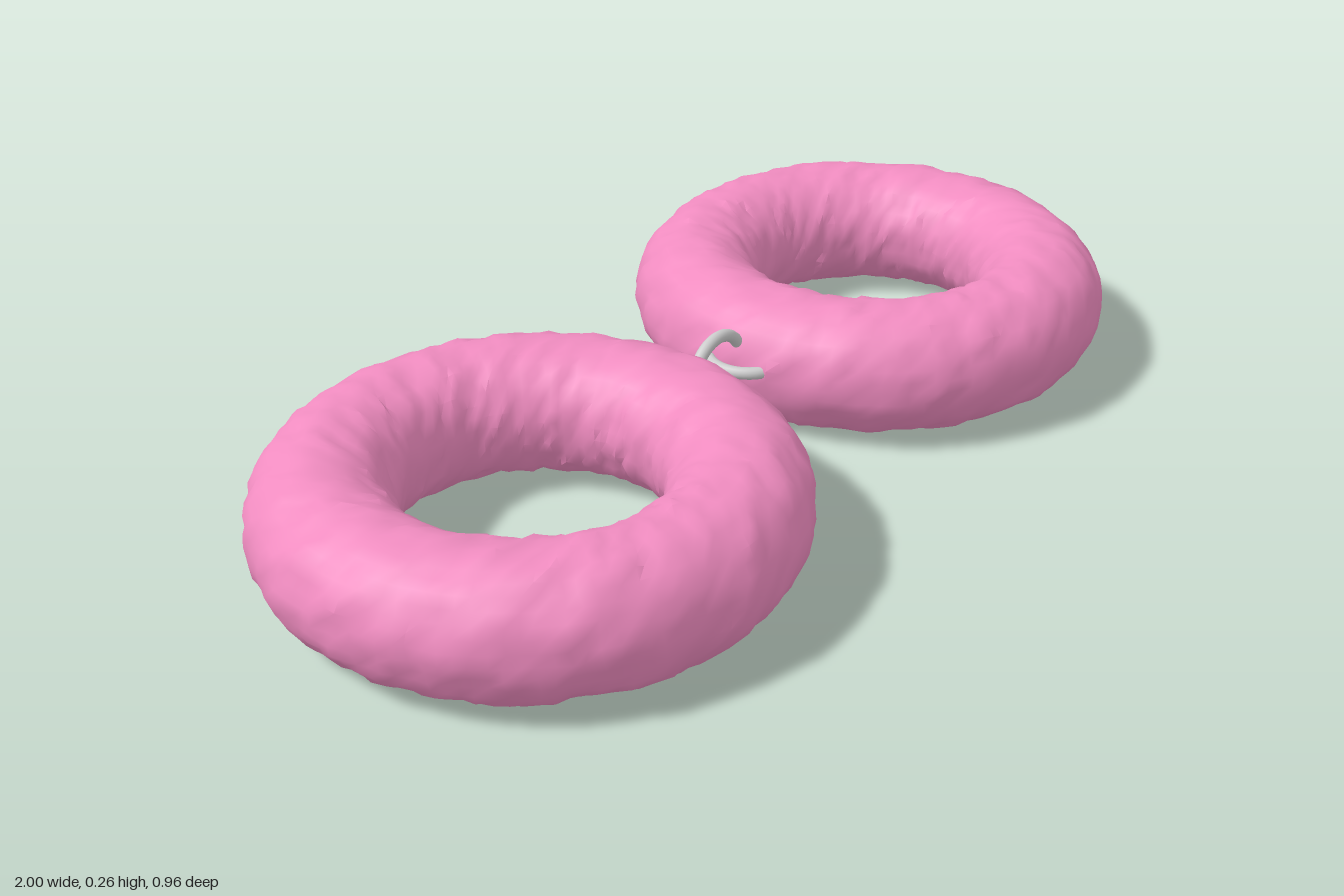
import * as THREE from 'three';
import { mergeVertices, toCreasedNormals } from 'three/addons/utils/BufferGeometryUtils.js';

const PINK = new THREE.MeshStandardMaterial({ color: 0xf08cc0 });
const METAL = new THREE.MeshStandardMaterial({ color: 0xcccccc });

// repeatable pseudo-random value in 0..1 for a grid cell
function hash(i, j, seed) {
  const s = Math.sin(i * 127.1 + j * 311.7 + seed * 74.7) * 43758.5453;
  return s - Math.floor(s);
}

// ring of fluffy plush: a torus whose skin is roughened by soft lumps and small tufts
function fluffyRing(seed) {
  const R = 0.35, r = 0.126, around = 120, section = 36;
  let geo = new THREE.TorusGeometry(R, r, section, around);
  geo.deleteAttribute('uv');
  geo.deleteAttribute('normal');
  geo = mergeVertices(geo, 1e-4);
  const pos = geo.attributes.position;
  for (let k = 0; k < pos.count; k++) {
    const x = pos.getX(k), y = pos.getY(k), z = pos.getZ(k);
    const u = Math.atan2(y, x);
    const v = Math.atan2(z, Math.hypot(x, y) - R);
    const i = (Math.round(u / (2 * Math.PI) * around) + around) % around;
    const j = (Math.round(v / (2 * Math.PI) * section) + section) % section;
    const lumps = Math.sin(13 * u + 3 * v + seed) * Math.sin(5 * v - 4 * u) * 0.0015;
    const tuft = (hash(i >> 1, j >> 1, seed) - 0.5) * 0.006;
    const rr = r + lumps + tuft + (hash(i, j, seed + 5) - 0.5) * 0.005;
    const twist = u + (hash(i, j, seed + 9) - 0.5) * 0.02;
    const d = R + rr * Math.cos(v);
    pos.setXYZ(k, d * Math.cos(twist), d * Math.sin(twist), rr * Math.sin(v));
  }
  geo.rotateX(-Math.PI / 2);
  return toCreasedNormals(geo, 0.7);
}

function add(group, name, geo, mat, x, y) {
  const mesh = new THREE.Mesh(geo, mat);
  mesh.name = name;
  mesh.position.set(x, y, 0);
  group.add(mesh);
}

export function createModel() {
  const model = new THREE.Group();
  model.name = 'fluffyCuffs';

  // upright middle link of the chain
  const chain = new THREE.Group();
  chain.name = 'chain';
  add(chain, 'middleLink', new THREE.TorusGeometry(0.077, 0.012, 14, 48), METAL, 0, 0.155);

  for (const side of [-1, 1]) {
    const label = side > 0 ? 'left' : 'right';
    // plush cuff
    add(model, label + 'Cuff', fluffyRing(side + 3), PINK, side * 0.523, 0.14);
    // flat link joining the cuff to the middle link
    const link = new THREE.TorusGeometry(0.075, 0.012, 14, 48).rotateX(Math.PI / 2);
    add(chain, label + 'Link', link, METAL, side * 0.1, 0.155);
  }
  model.add(chain);
  return model;
}
